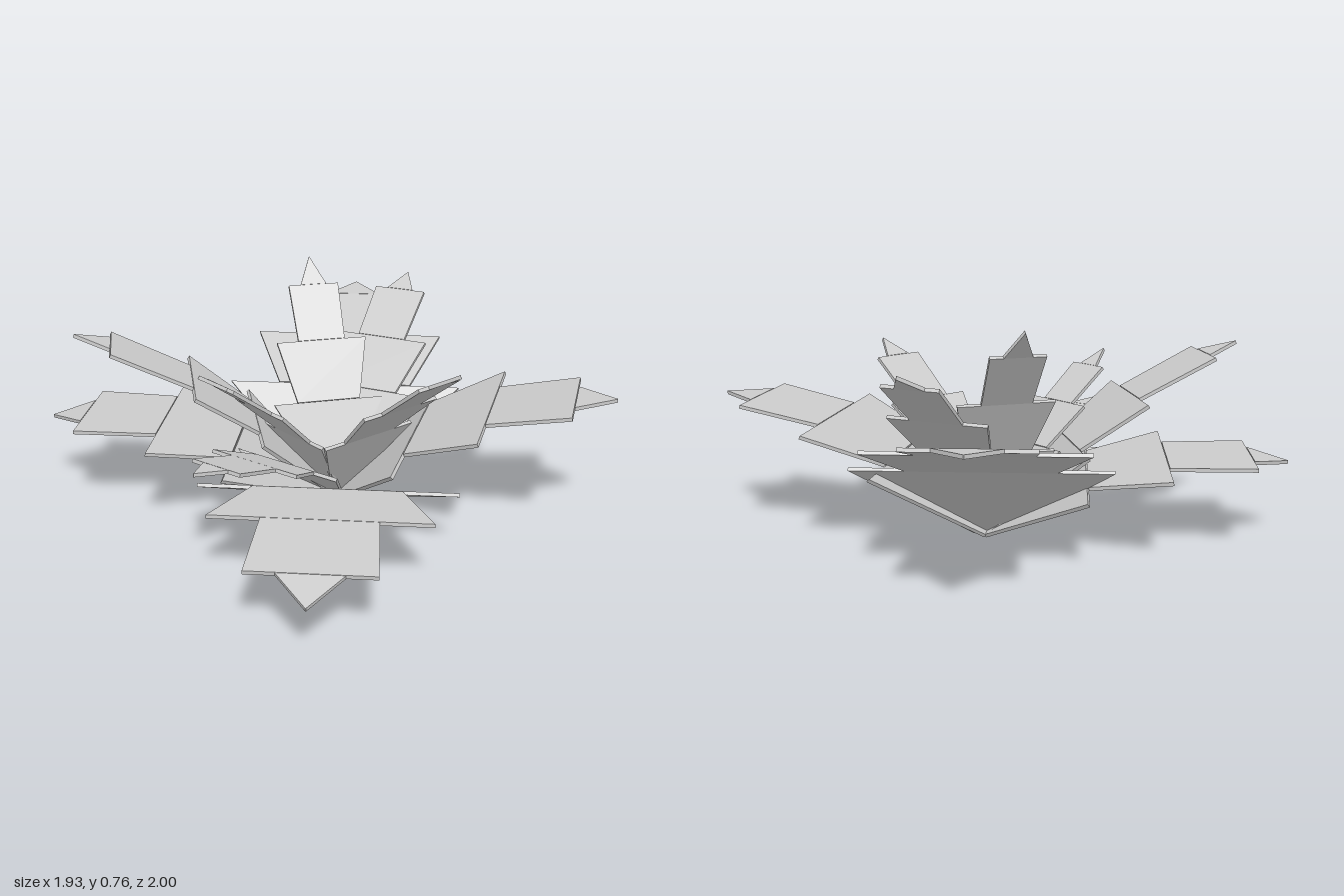
import * as THREE from 'three';
import { mergeGeometries } from 'three/addons/utils/BufferGeometryUtils.js';

const THICK = 0.012;

// Half widths of the four tiers of a leaf: [inner end, outer end]
const TIERS = [[0.045, 0.42], [0.24, 0.345], [0.18, 0.193], [0.1, 0.001]];

// Turns a unit box into a flat tapered plate between two profile points
function plate(p0, p1, w0, w1) {
  const geo = new THREE.BoxGeometry(1, 1, 1).toNonIndexed();
  const pos = geo.attributes.position;
  const dir = new THREE.Vector2(p1[0] - p0[0], p1[1] - p0[1]).normalize();
  for (let i = 0; i < pos.count; i++) {
    const outer = pos.getZ(i) > 0;
    const [r, y] = outer ? p1 : p0;
    const lift = pos.getY(i) > 0 ? THICK : 0;
    pos.setXYZ(i,
      Math.sign(pos.getX(i)) * (outer ? w1 : w0),
      y + lift * dir.x,
      r - lift * dir.y);
  }
  geo.computeVertexNormals();
  return geo;
}

// A stepped leaf bent along a profile of [distance, height] points
function leaf(profile, width) {
  const points = [[0, 0], ...profile];
  return mergeGeometries(TIERS.map(([a, b], i) =>
    plate(points[i], points[i + 1], a * width, b * width)));
}

// name, heading in degrees from the front toward +x, width factor, profile
const LEAVES = [
  ['frontLargeLeaf', 0, 1, [[0.4, 0.2], [0.65, 0.215], [0.925, 0.185], [1.05, 0.15]]],
  ['backLargeLeaf', 180, 1, [[0.31, 0.3], [0.55, 0.415], [0.825, 0.495], [0.95, 0.51]]],
  ['leftLargeLeaf', 80.3, 1, [[0.285, 0.28], [0.535, 0.385], [0.805, 0.44], [0.935, 0.445]]],
  ['rightLargeLeaf', -90, 1, [[0.34, 0.225], [0.6, 0.275], [0.88, 0.28], [1.005, 0.26]]],
  ['rightUpperLeaf', -76, 0.63, [[0.29, 0.31], [0.5, 0.465], [0.76, 0.595], [0.875, 0.63]]],
  ['backUpperLeaf', 199, 0.47, [[0.13, 0.31], [0.24, 0.5], [0.365, 0.67], [0.435, 0.755]]],
  ['backLeftUpperLeaf', 160, 0.5, [[0.24, 0.32], [0.39, 0.47], [0.565, 0.605], [0.645, 0.65]]],
  ['frontLeftUpperLeaf', 45, 0.46, [[0.17, 0.28], [0.32, 0.42], [0.49, 0.55], [0.58, 0.6]]],
  ['frontRightUpperLeaf', -45, 0.37, [[0.2, 0.28], [0.34, 0.41], [0.49, 0.52], [0.57, 0.57]]],
  ['frontRightLowLeaf', -31, 0.5, [[0.3, 0.22], [0.46, 0.28], [0.64, 0.33], [0.74, 0.342]]],
];

export function createModel() {
  const model = new THREE.Group();
  model.name = 'leafyPlant';
  const material = new THREE.MeshStandardMaterial({ color: 0xcccccc, flatShading: true });

  // Every leaf grows from the same point at the base
  for (const [name, heading, width, profile] of LEAVES) {
    const mesh = new THREE.Mesh(leaf(profile, width), material);
    mesh.name = name;
    mesh.rotation.y = THREE.MathUtils.degToRad(heading);
    mesh.position.set(0.04, 0, -0.05);
    model.add(mesh);
  }
  return model;
}
